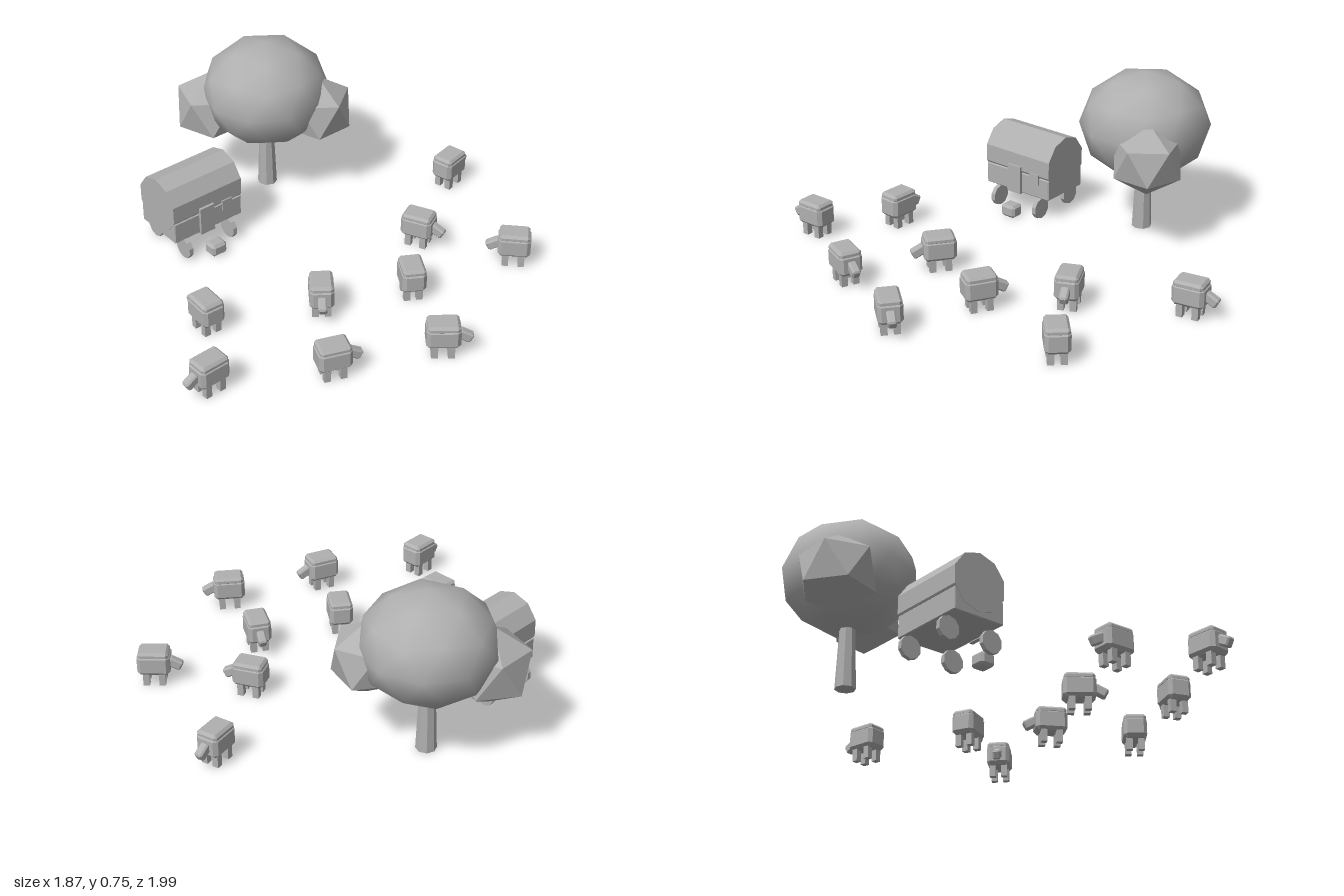
import * as THREE from 'three';
import { ConvexGeometry } from 'three/addons/geometries/ConvexGeometry.js';

const grey = new THREE.MeshStandardMaterial({ color: 0xb0b0b0 });
grey.name = 'plain grey';

function part(parent, name, geometry, x, y, z) {
  const mesh = new THREE.Mesh(geometry, grey);
  mesh.name = name;
  mesh.position.set(x, y, z);
  parent.add(mesh);
  return mesh;
}

function group(parent, name) {
  const g = new THREE.Group();
  g.name = name;
  parent.add(g);
  return g;
}

// Box with flat chamfered edges: three points at every corner
function chamferBox(w, h, d, c) {
  const points = [];
  for (const sx of [-1, 1]) for (const sy of [-1, 1]) for (const sz of [-1, 1]) {
    const [x, y, z] = [w / 2, h / 2, d / 2];
    for (const [a, b, e] of [[x, y - c, z - c], [x - c, y, z - c], [x - c, y - c, z]]) {
      points.push(new THREE.Vector3(sx * a, sy * b, sz * e));
    }
  }
  return new ConvexGeometry(points);
}

// Icosahedron turned so that one corner points straight up
function poleUpBall(radius, detail) {
  return new THREE.IcosahedronGeometry(radius, detail).rotateZ(Math.atan(2 / (1 + Math.sqrt(5))));
}

function flat(geometry) {
  const g = geometry.toNonIndexed();
  g.computeVertexNormals();
  return g;
}

function addTree(parent) {
  const tree = group(parent, 'tree');
  part(tree, 'trunk', flat(new THREE.CylinderGeometry(0.031, 0.045, 0.36, 8)), -0.6, 0.18, -0.225);
  part(tree, 'canopy', poleUpBall(1, 1), -0.6, 0.506, -0.225).scale.set(0.295, 0.248, 0.295);
  part(tree, 'leftFoliage', poleUpBall(0.17, 0), -0.41, 0.435, -0.375).rotation.y = Math.PI;
  part(tree, 'rightFoliage', poleUpBall(0.18, 0), -0.78, 0.405, -0.048).rotation.y = Math.PI;
}

function addWagon(parent) {
  const wagon = group(parent, 'wagon');
  wagon.position.set(-0.471, 0, 0.307);
  // Ten-sided barrel with a ridge at the top
  const barrel = new THREE.CylinderGeometry(0.13, 0.13, 0.37, 10).rotateX(-Math.PI / 2);
  barrel.rotateZ(Math.PI);
  const body = part(wagon, 'barrelRoof', flat(barrel), 0, 0.255, 0);
  // keep a corner of the decagon at the very top
  body.rotation.z = 0;
  part(wagon, 'lowerBody', chamferBox(0.246, 0.1, 0.366, 0.004), 0, 0.155, 0);
  part(wagon, 'door', new THREE.BoxGeometry(0.02, 0.135, 0.075), 0.126, 0.168, 0.012);
  part(wagon, 'window', new THREE.BoxGeometry(0.016, 0.05, 0.053), 0.122, 0.197, -0.102);
  part(wagon, 'step', chamferBox(0.07, 0.06, 0.078, 0.012), 0.169, 0.03, -0.002);
  const wheel = flat(new THREE.CylinderGeometry(0.05, 0.05, 0.02, 10).rotateX(Math.PI / 2));
  for (const x of [-0.107, 0.107]) for (const z of [-0.122, 0.122]) {
    part(wagon, 'wheel', wheel, x, 0.05, z);
  }
}

function addFlock(parent) {
  const flock = group(parent, 'flock');
  const body = chamferBox(0.106, 0.1, 0.144, 0.016);
  const wool = chamferBox(0.1, 0.034, 0.134, 0.011);
  const head = chamferBox(0.038, 0.044, 0.066, 0.007);
  const leg = new THREE.BoxGeometry(0.028, 0.065, 0.028);
  // Ground position, then facing direction, as x and z
  const places = [
    [-0.033, -0.873, -4, -20], [0.595, -0.667, -15, 14], [0.222, -0.44, 17, -8],
    [0.473, -0.164, -17, -10], [0.839, 0, 13, -16], [0.31, 0.206, 16, 12],
    [0.653, 0.434, 7, -18], [0.0926, 0.651, -20, -1], [0.405, 0.868, 0.5, 19],
  ];
  for (const [x, z, dx, dz] of places) {
    const sheep = group(flock, 'sheep');
    sheep.position.set(x, 0, z);
    sheep.rotation.y = Math.atan2(dx, dz);
    part(sheep, 'body', body, 0, 0.103, 0);
    part(sheep, 'woolTop', wool, 0, 0.149, 0);
    part(sheep, 'head', head, 0, 0.094, 0.09).rotation.x = 0.5;
    for (const lx of [-0.027, 0.027]) for (const lz of [-0.035, 0.035]) {
      part(sheep, 'leg', leg, lx, 0.0325, lz);
    }
  }
}

export function createModel() {
  const model = new THREE.Group();
  model.name = 'pastureScene';
  addTree(model);
  addWagon(model);
  addFlock(model);
  return model;
}
